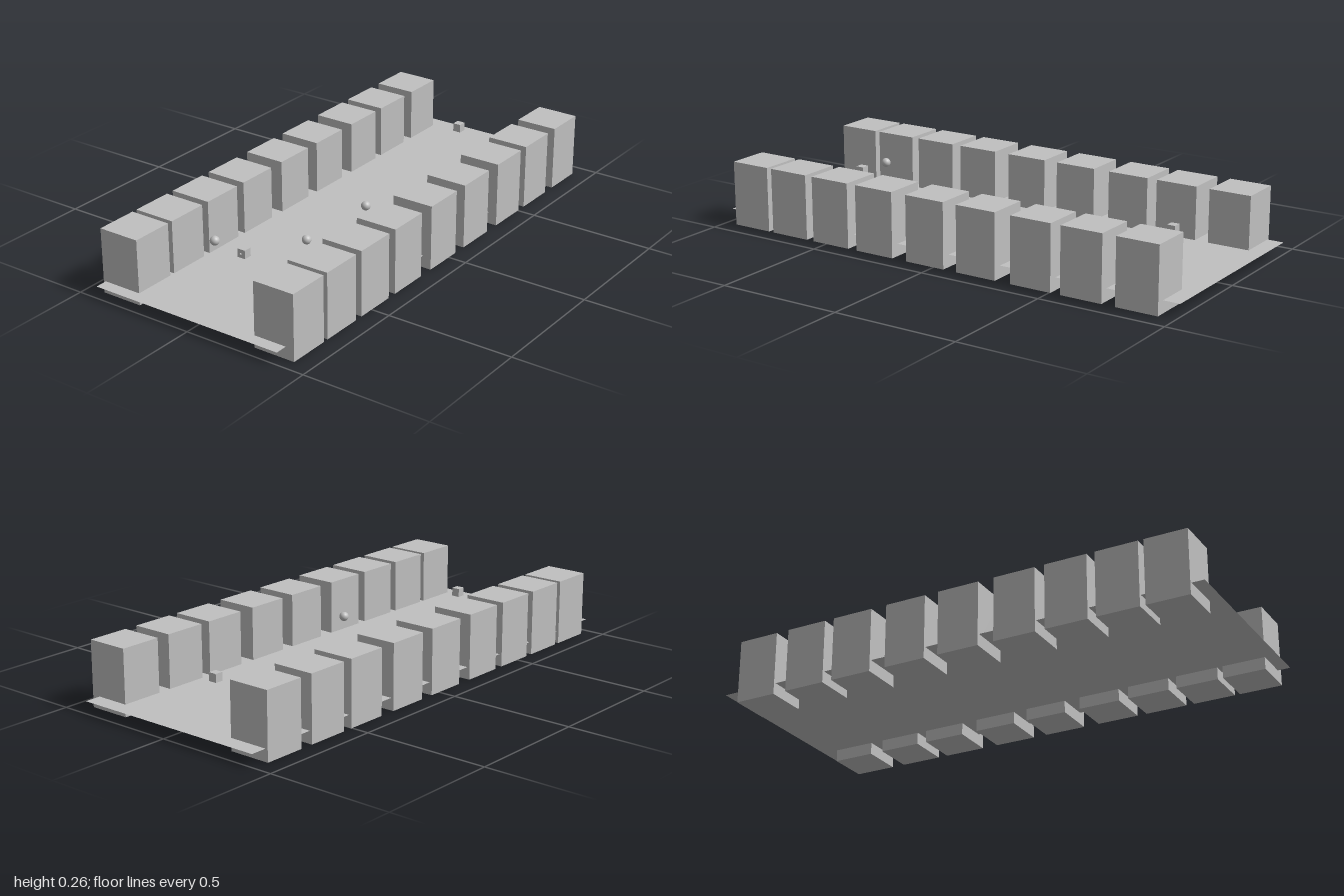
import * as THREE from 'three';

export function createModel() {
  const model = new THREE.Group();
  const grey = new THREE.MeshStandardMaterial({ color: 0xc0c0c0 });
  grey.name = 'plain grey';
  const greySheet = new THREE.MeshStandardMaterial({ color: 0xc0c0c0, side: THREE.DoubleSide });
  greySheet.name = 'plain grey sheet';

  const add = (name, geometry, x, y, z, material = grey) => {
    const mesh = new THREE.Mesh(geometry, material);
    mesh.name = name;
    mesh.position.set(x, y, z);
    model.add(mesh);
    return mesh;
  };

  // Ground sheet, slightly above the bottoms of the blocks
  const ground = new THREE.PlaneGeometry(0.81, 2).rotateX(-Math.PI / 2);
  add('ground', ground, -0.013, 0.048, 0, greySheet);

  // Two rows of unevenly spaced building blocks
  const block = new THREE.BoxGeometry(0.168, 0.256, 0.168);
  const rows = [-0.85, -0.628, -0.42, -0.186, 0.039, 0.271, 0.478, 0.678, 0.867];
  for (const z of rows) {
    add('leftBuilding', block, 0.342, 0.128, z);
    add('rightBuilding', block, -0.344, 0.128, z);
  }

  // Balls: one resting on the ground, two floating
  const ball = new THREE.SphereGeometry(0.018, 32, 16);
  add('groundBall', ball, -0.013, 0.067, 0.296);
  add('leftFloatingBall', ball, 0.115, 0.165, 0.096);
  add('rightFloatingBall', ball, -0.157, 0.165, 0.652);

  // Floating cubes at both ends, the front one with a small stud
  const cube = new THREE.BoxGeometry(0.033, 0.033, 0.033);
  add('frontCube', cube, -0.013, 0.165, 0.663);
  add('backCube', cube, -0.013, 0.165, -0.75);
  add('cubeStud', new THREE.SphereGeometry(0.004, 16, 8), -0.013, 0.165, 0.683);

  return model;
}
